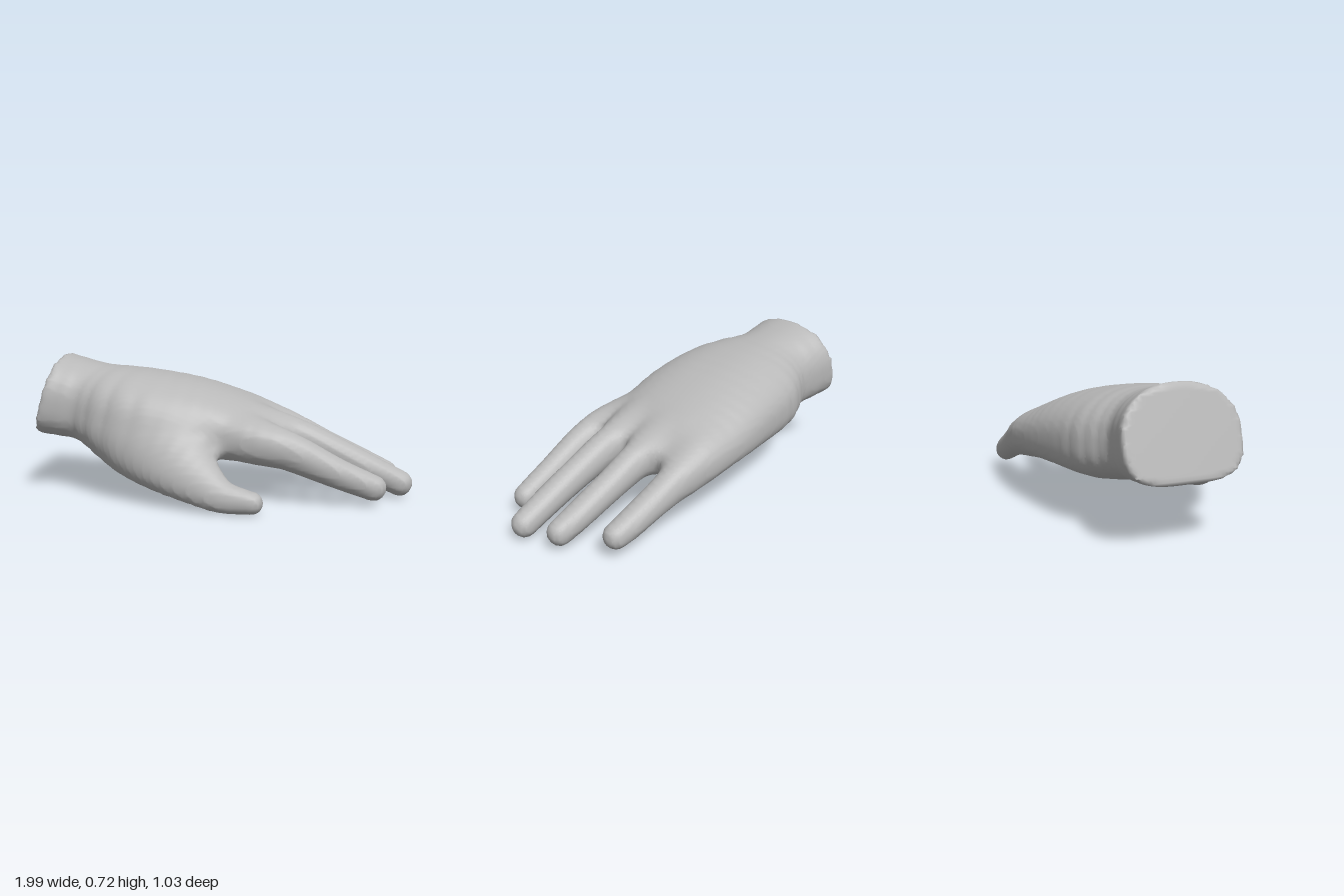
import * as THREE from 'three';

// Cross-sections of each part: [x, y, z, halfHeight, halfWidth, roll]
const palm = [
  [-1.15, 0.57, -0.088, 0.225, 0.3, 0],
  [-0.94, 0.516, -0.088, 0.22, 0.288, 0],
  [-0.69, 0.468, -0.075, 0.206, 0.275, 0],
  [-0.45, 0.432, -0.06, 0.22, 0.385, 0],
  [-0.2, 0.407, -0.085, 0.2, 0.407, 0],
  [0, 0.375, -0.112, 0.17, 0.405, 0],
  [0.14, 0.352, -0.107, 0.135, 0.408, 0],
  [0.26, 0.324, -0.1, 0.095, 0.38, 0],
];
const fingers = {
  index: [
    [-0.08, 0.34, 0.13, 0.05, 0.05, 0], [0.16, 0.314, 0.212, 0.098, 0.09, 0],
    [0.35, 0.277, 0.238, 0.098, 0.083, 0], [0.6, 0.167, 0.232, 0.077, 0.068, 0],
    [0.79, 0.09, 0.212, 0.066, 0.061, 0]],
  middle: [
    [-0.05, 0.36, 0.03, 0.05, 0.05, 0], [0.18, 0.36, 0.03, 0.085, 0.085, 0],
    [0.37, 0.32, 0.025, 0.094, 0.083, 0], [0.6, 0.228, 0.025, 0.081, 0.073, 0],
    [0.8, 0.137, 0.025, 0.071, 0.069, 0], [0.935, 0.073, 0.02, 0.067, 0.062, 0]],
  ring: [
    [-0.05, 0.36, -0.19, 0.05, 0.05, 0], [0.18, 0.352, -0.185, 0.085, 0.085, 0],
    [0.36, 0.307, -0.18, 0.094, 0.083, 0], [0.55, 0.227, -0.18, 0.079, 0.073, 0],
    [0.75, 0.14, -0.18, 0.07, 0.069, 0], [0.87, 0.086, -0.175, 0.066, 0.061, 0]],
  little: [
    [-0.14, 0.35, -0.3, 0.05, 0.05, 0], [0.12, 0.318, -0.39, 0.098, 0.09, 0],
    [0.32, 0.269, -0.418, 0.097, 0.083, 0], [0.5, 0.201, -0.417, 0.078, 0.073, 0],
    [0.65, 0.139, -0.413, 0.07, 0.068, 0], [0.725, 0.109, -0.407, 0.064, 0.061, 0]],
};
const thumb = [
  [-0.72, 0.42, 0, 0.06, 0.06, 0.35],
  [-0.58, 0.36, 0.1, 0.145, 0.12, 0.4],
  [-0.42, 0.3, 0.205, 0.19, 0.135, 0.45],
  [-0.22, 0.222, 0.315, 0.175, 0.115, 0.45],
  [-0.07, 0.142, 0.398, 0.125, 0.082, 0.42],
  [0.05, 0.083, 0.448, 0.082, 0.06, 0.32],
  [0.2, 0.057, 0.458, 0.056, 0.054, 0],
];

// Signed distance to a chain of sections, with rounded ends
function limb(rings, { power = 2, arch = 0 } = {}) {
  const steps = 3, count = (rings.length - 1) * steps;
  const spline = new THREE.CubicInterpolant(
    new Float32Array(rings.map((_, i) => i)), new Float32Array(rings.flat()), 6);
  const rows = Array.from({ length: count + 1 }, (_, i) => Array.from(spline.evaluate(i / steps)));
  const segments = rows.slice(1).map((b, i) => {
    const a = rows[i];
    const start = new THREE.Vector3(...a);
    const dir = new THREE.Vector3(...b).sub(start);
    const length = dir.length();
    dir.normalize();
    const side = new THREE.Vector3(0, 0, 1).addScaledVector(dir, -dir.z).normalize();
    const up = new THREE.Vector3().crossVectors(side, dir);
    const roll = -(a[5] + b[5]) / 2;
    side.applyAxisAngle(dir, roll);
    up.applyAxisAngle(dir, roll);
    return { start, dir, side, up, length, h: a[3], dh: b[3] - a[3], w: a[4], dw: b[4] - a[4] };
  });
  const d = new THREE.Vector3();
  return (p) => {
    let best = Infinity;
    for (const s of segments) {
      d.subVectors(p, s.start);
      const along = d.dot(s.dir);
      const t = Math.min(1, Math.max(0, along / s.length));
      const h = s.h + s.dh * t, w = s.w + s.dw * t, e = Math.min(h, w);
      const u = d.dot(s.side) / w;
      const v = (d.dot(s.up) + arch * Math.min(1, u * u)) / h;
      const c = (along - t * s.length) / e;
      const k = power === 2 ? Math.hypot(u, v, c)
        : Math.pow(Math.abs(u) ** power + Math.abs(v) ** power + Math.abs(c) ** power, 1 / power);
      best = Math.min(best, (k - 1) * (k + 1e-6) / (Math.hypot(u / w, v / h, c / e) + 1e-6));
    }
    return best;
  };
}

// Union with a soft fillet
function blend(a, b, k) {
  const h = Math.max(k - Math.abs(a - b), 0) / k;
  return Math.min(a, b) - h * h * k / 4;
}

// Wraps one continuous skin around a distance field
function skin(field, min, max, cell) {
  const [nx, ny, nz] = [0, 1, 2].map((i) => Math.ceil((max[i] - min[i]) / cell) + 1);
  const stride = [1, nx, nx * ny];
  const values = new Float32Array(nx * ny * nz);
  const p = new THREE.Vector3();
  const each = (visit) => {
    for (let z = 0; z < nz; z++) for (let y = 0; y < ny; y++) for (let x = 0; x < nx; x++)
      visit([x, y, z], x + y * stride[1] + z * stride[2]);
  };
  each((g, id) => {
    values[id] = field(p.set(min[0] + g[0] * cell, min[1] + g[1] * cell, min[2] + g[2] * cell));
  });

  // One vertex in each cell the surface crosses
  const position = [], index = [], vertex = new Int32Array(values.length).fill(-1);
  each((g, id) => {
    if (g[0] === nx - 1 || g[1] === ny - 1 || g[2] === nz - 1) return;
    const sum = [0, 0, 0];
    let hits = 0;
    for (let corner = 0; corner < 8; corner++) {
      const o = [corner & 1, (corner >> 1) & 1, corner >> 2];
      const from = id + o[0] + o[1] * stride[1] + o[2] * stride[2];
      for (let axis = 0; axis < 3; axis++) {
        if (o[axis]) continue;
        const a = values[from], b = values[from + stride[axis]];
        if ((a < 0) === (b < 0)) continue;
        for (let i = 0; i < 3; i++) sum[i] += o[i] + (i === axis ? a / (a - b) : 0);
        hits++;
      }
    }
    if (!hits) return;
    vertex[id] = position.length / 3;
    for (let i = 0; i < 3; i++) position.push(min[i] + (g[i] + sum[i] / hits) * cell);
  });

  // One quad around each grid edge the surface crosses
  each((g, id) => {
    for (let axis = 0; axis < 3; axis++) {
      const m = (axis + 1) % 3, n = (axis + 2) % 3;
      if (!g[m] || !g[n] || g[axis] === [nx, ny, nz][axis] - 1) continue;
      const inside = values[id] < 0;
      if (inside === values[id + stride[axis]] < 0) continue;
      const q = [id - stride[m] - stride[n], id - stride[n], id, id - stride[m]].map((i) => vertex[i]);
      if (!inside) q.reverse();
      index.push(q[0], q[1], q[2], q[0], q[2], q[3]);
    }
  });
  const geometry = new THREE.BufferGeometry();
  geometry.setAttribute('position', new THREE.Float32BufferAttribute(position, 3));
  geometry.setIndex(index);
  geometry.computeVertexNormals();
  return geometry;
}

export function createModel() {
  const grey = new THREE.MeshStandardMaterial({ color: 0xb8b8b8 });
  grey.name = 'plain grey';

  const palmField = limb(palm, { power: 2.6, arch: 0.035 });
  const fingerFields = Object.values(fingers).map((rings) => limb(rings));
  const thumbField = limb(thumb);

  const handField = (p) => {
    const digits = Math.min(...fingerFields.map((f) => f(p)));
    const body = blend(blend(palmField(p), digits, 0.07), thumbField(p), 0.11);
    // Slanted flat end of the wrist
    return Math.max(body, (p.x + 1) * -0.963 + (p.y - 0.3) * 0.269);
  };

  const skinMesh = new THREE.Mesh(skin(handField, [-1.04, -0.04, -0.59], [1.04, 0.79, 0.57], 0.0185), grey);
  skinMesh.name = 'handSkin';
  const hand = new THREE.Group();
  hand.name = 'hand';
  hand.add(skinMesh);
  return hand;
}
